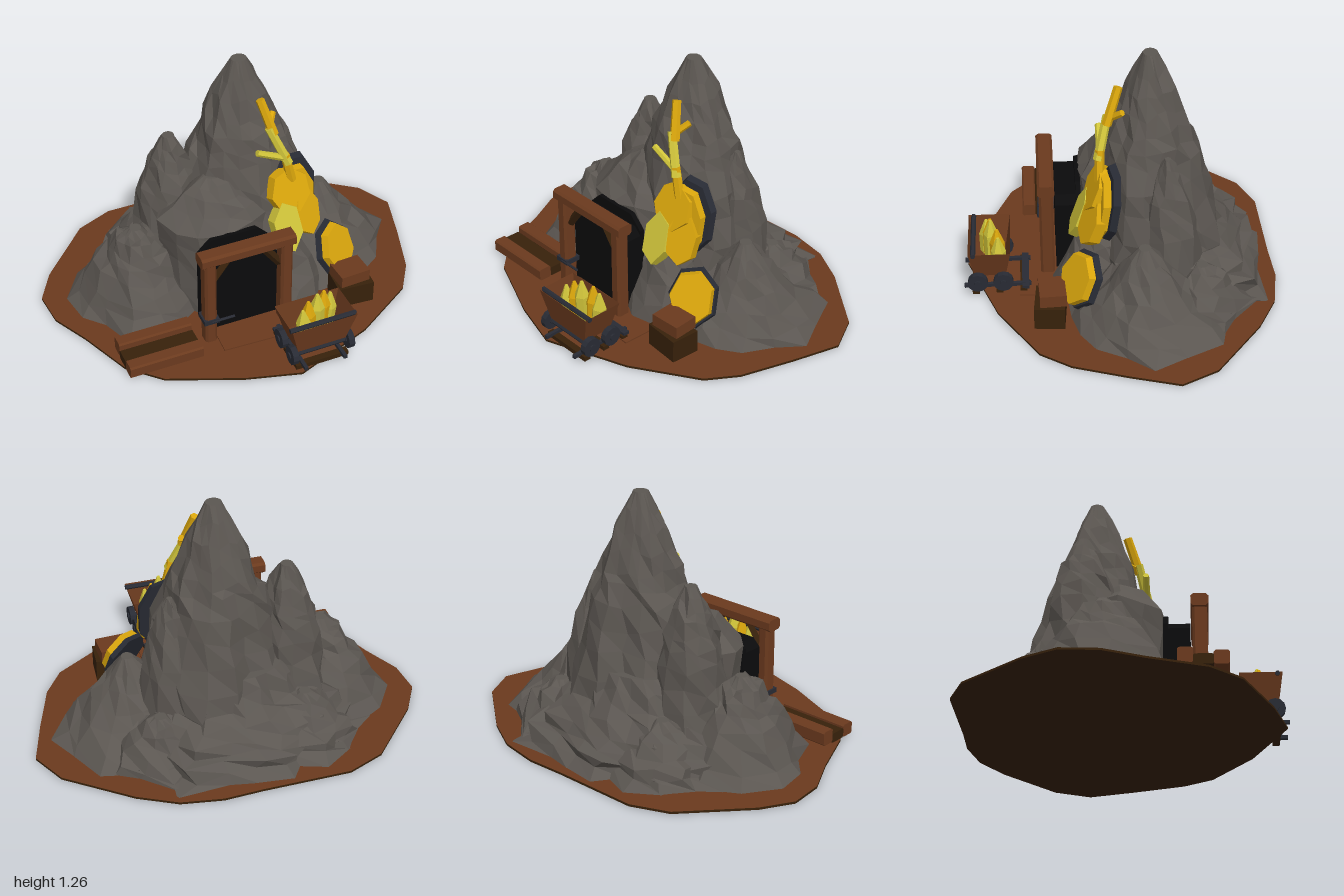
import * as THREE from 'three';

const paint = (name, color) => {
  const m = new THREE.MeshStandardMaterial({ color });
  m.name = name;
  return m;
};
const V = (x, y, z) => new THREE.Vector3(x, y, z);

export function createModel() {
  const rockGrey = paint('rock grey', 0x5b5651);
  const brown = paint('wood brown', 0x6b3a1e);
  const darkBrown = paint('dark wood', 0x37210b);
  const iron = paint('iron', 0x282b34);
  const black = paint('tunnel black', 0x0b0b0c);
  const gold = paint('gold', 0xdaa60c);
  const yellow = paint('pale gold', 0xd0c43a);
  const inside = paint('cart wood', 0x6b3a1e);
  inside.side = THREE.DoubleSide;

  const model = new THREE.Group();
  model.name = 'mountainMine';

  // Adds a mesh with hard facets
  const add = (name, geometry, material) => {
    const g = geometry.index ? geometry.toNonIndexed() : geometry;
    g.computeVertexNormals();
    const mesh = new THREE.Mesh(g, material);
    mesh.name = name;
    model.add(mesh);
    return mesh;
  };
  const box = (name, mat, [x, y, z], [w, h, d], turn = 0) => {
    const m = add(name, new THREE.BoxGeometry(w, h, d), mat);
    m.position.set(x, y, z);
    m.rotation.y = turn;
    return m;
  };
  // Straight bar between two points
  const bar = (name, mat, a, b, r0, r1 = r0, sides = 6) => {
    const m = add(name, new THREE.CylinderGeometry(r1, r0, a.distanceTo(b), sides), mat);
    m.position.copy(a).lerp(b, 0.5);
    m.quaternion.setFromUnitVectors(V(0, 1, 0), b.clone().sub(a).normalize());
    return m;
  };
  // Timber with chamfered long edges, lying along x
  const timber = (name, mat, [x, y, z], [w, h, d], c = 0.012) => {
    const a = d / 2, b = h / 2;
    const section = new THREE.Shape([
      [-a + c, -b], [a - c, -b], [a, -b + c], [a, b - c], [a - c, b], [-a + c, b], [-a, b - c], [-a, -b + c],
    ].map(([u, v]) => new THREE.Vector2(u, v)));
    const g = new THREE.ExtrudeGeometry(section, { depth: w, bevelEnabled: false });
    const m = add(name, g.translate(0, 0, -w / 2).rotateY(Math.PI / 2), mat);
    m.position.set(x, y, z);
    return m;
  };
  // Faceted slab facing along a normal
  const slab = (name, mat, pos, normal, rx, ry, thick, sides, roll) => {
    const g = new THREE.CylinderGeometry(0.93, 1, thick, sides);
    g.rotateX(Math.PI / 2).rotateZ(roll).scale(rx, ry, 1);
    const m = add(name, g, mat);
    m.position.copy(pos);
    m.lookAt(pos.clone().add(normal));
    return m;
  };

  // Repeatable noise in 0..1
  const noise = (a, b, c) => {
    const s = Math.sin(a * 127.1 + b * 311.7 + c * 74.7) * 43758.5453;
    return s - Math.floor(s);
  };
  // Craggy cone from a [radius, height] profile, bottom to top
  const rock = (name, seed, x, z, profile, sides, rough, sx = 1, sz = 1) => {
    const pts = [];
    profile.forEach(([r, y], i) => {
      if (i) {
        const [pr, py] = profile[i - 1];
        pts.push(new THREE.Vector2((r + pr) / 2, (y + py) / 2));
      }
      pts.push(new THREE.Vector2(r, y));
    });
    pts.push(new THREE.Vector2(0, profile.at(-1)[1]));
    const g = new THREE.LatheGeometry(pts, sides);
    const p = g.attributes.position;
    const rows = pts.length;
    for (let i = 0; i < p.count; i++) {
      const row = i % rows, col = Math.floor(i / rows) % sides;
      const top = row >= rows - 2;
      const ridge = noise(col, 0, seed) * 0.5 + noise(col, row, seed) * 0.5;
      const k = top ? 1 : 1 + rough * (ridge * 1.5 - 0.9);
      const turn = top ? 0 : (noise(row, col, seed + 9) - 0.5) * 3 / sides;
      const a = col / sides * Math.PI * 2 + turn;
      const r = pts[row].x * k;
      const lift = top || row === 0 ? 0 : (noise(col, row, seed + 5) - 0.5) * 0.05;
      p.setXYZ(i, x + Math.sin(a) * r * sx, Math.max(0.01, pts[row].y + lift), z + Math.cos(a) * r * sz);
    }
    return add(name, g, rockGrey);
  };

  // Ground plate: dark underside and edge, brown top
  const outline = [
    [-1, -.24], [-.91, -.4], [-.64, -.7], [-.45, -.78], [0, -.785], [.2, -.795], [.41, -.76],
    [.6, -.66], [.91, -.42], [1, -.24], [.93, 0], [.84, .27], [.74, .42], [.42, .62], [0, .775],
    [-.27, .7], [-.63, .55], [-.78, .4], [-.89, .13], [-.985, -.06],
  ];
  const ground = new THREE.Shape(outline.map(([x, z]) => new THREE.Vector2(x, -z)));
  add('groundBase', new THREE.ExtrudeGeometry(ground, { depth: 0.01, bevelEnabled: false }).rotateX(-Math.PI / 2), darkBrown);
  add('groundTop', new THREE.ShapeGeometry(ground).rotateX(-Math.PI / 2), brown).position.y = 0.012;
  box('path', brown, [0.005, 0.015, 0.39], [0.58, 0.008, 0.22], -0.04);

  // Mountain: main peak, side peaks and foothills
  rock('mainPeak', 1, 0.06, -0.15, [[.44, 0], [.38, .25], [.325, .5], [.26, .75], [.205, .9], [.135, 1.08], [.04, 1.26]], 18, .24, 1, .9);
  rock('rightPeak', 2, -0.3, -0.19, [[.27, 0], [.2, .3], [.17, .5], [.13, .66], [.085, .77], [.03, .88]], 12, .24);
  rock('leftPeak', 3, 0.3, -0.22, [[.2, 0], [.15, .4], [.11, .58], [.06, .71], [.015, .81]], 10, .25);
  rock('rightHill', 4, -0.53, -0.08, [[.34, 0], [.25, .16], [.16, .3], [.1, .39], [.03, .45]], 13, .26);
  rock('leftHill', 5, 0.49, -0.1, [[.42, 0], [.27, .14], [.14, .29], [.03, .43]], 15, .24);
  rock('cliff', 6, -0.13, -0.03, [[.25, 0], [.25, .3], [.25, .5], [.14, .62], [.04, .7]], 12, .14, 1.2, 1);
  rock('buttress', 10, 0.18, 0.1, [[.24, 0], [.16, .2], [.09, .35], [.02, .46]], 10, .2);
  rock('backFoothill', 7, 0, -0.27, [[.69, 0], [.61, .1], [.51, .17], [.37, .28], [.25, .42]], 24, .22, 1, .7);
  rock('backLeftFoothill', 8, 0.4, -0.39, [[.27, 0], [.2, .1], [.12, .19], [.03, .25]], 10, .25);
  rock('backRightFoothill', 9, -0.33, -0.42, [[.27, 0], [.21, .1], [.12, .2], [.03, .27]], 10, .25);

  // Tunnel mouth
  const arch = (h, c) => new THREE.Shape([
    [-.31, 0], [.07, 0], [.07, h - c], [.07 - c, h], [-.31 + c, h], [-.31, h - c],
  ].map(([x, y]) => new THREE.Vector2(x, y)));
  [['tunnelMouth', .43, .04, .21, .11], ['tunnelBack', .485, .07, .19, .025]].forEach(([name, h, c, z, depth]) => {
    add(name, new THREE.ExtrudeGeometry(arch(h, c), { depth, bevelEnabled: false }), black).position.set(0, 0.01, z);
  });

  // Timber frame with corner braces
  [-0.32, 0.085].forEach((x, i) => {
    const s = i ? -1 : 1;
    timber('framePost', brown, [x, 0.255, 0.365], [0.49, 0.062, 0.072]).rotation.z = Math.PI / 2;
    bar('frameBrace', darkBrown, V(x + s * 0.025, 0.37, 0.36), V(x + s * 0.12, 0.5, 0.36), 0.022, 0.022, 4);
  });
  timber('frameLintel', brown, [-0.12, 0.522, 0.365], [0.495, 0.062, 0.085]);
  box('postBand', iron, [-0.32, 0.145, 0.365], [0.08, 0.025, 0.085]);
  bar('bandHook', iron, V(-0.32, 0.145, 0.405), V(-0.2, 0.145, 0.405), 0.007);

  // Stacked beams
  timber('backBeam', brown, [-0.59, 0.06, 0.295], [0.38, 0.075, 0.07], 0.008);
  timber('middleBeam', darkBrown, [-0.59, 0.04, 0.375], [0.38, 0.05, 0.09], 0.006);
  timber('frontBeam', brown, [-0.59, 0.047, 0.455], [0.38, 0.066, 0.07], 0.008);

  // Crates
  box('largeCrate', darkBrown, [0.465, 0.07, 0.36], [0.19, 0.12, 0.15], -0.08);
  box('smallCrate', brown, [0.46, 0.162, 0.35], [0.16, 0.064, 0.13], 0.05);

  // Track
  [0.49, 0.61, 0.73].forEach((z) => box('railTie', darkBrown, [0.12, 0.022, z], [0.28, 0.025, 0.035]));
  box('railStop', iron, [0.12, 0.04, 0.48], [0.28, 0.016, 0.035]);
  [0.015, 0.225].forEach((x) => box('rail', iron, [x, 0.04, 0.62], [0.018, 0.018, 0.335]));

  // Cart
  const tub = new THREE.CylinderGeometry(Math.SQRT2, Math.SQRT2 * 0.74, 1, 4, 1, true);
  tub.rotateY(Math.PI / 4).scale(0.172, 0.16, 0.105);
  add('cartTub', tub, inside).position.set(0.12, 0.195, 0.655);
  box('cartFloor', brown, [0.12, 0.125, 0.655], [0.25, 0.02, 0.155]);
  bar('cartRim', iron, V(-0.055, 0.268, 0.735), V(0.295, 0.268, 0.735), 0.013);
  [0.59, 0.718].forEach((z) => {
    bar('cartAxle', iron, V(-0.03, 0.092, z), V(0.27, 0.092, z), 0.014);
    [-0.03, 0.27].forEach((x) => {
      bar('cartWheel', iron, V(x - 0.015, 0.092, z), V(x + 0.015, 0.092, z), 0.05, 0.05, 12);
      bar('wheelHub', iron, V(x - 0.022, 0.092, z), V(x + 0.022, 0.092, z), 0.018, 0.018, 8);
    });
  });

  // Crystals in the cart
  [[.06, .67, .31], [.09, .65, .34], [.13, .645, .365], [.17, .615, .345], [.2, .61, .32]].forEach(([x, z, top], i) => {
    const mat = i % 2 ? gold : yellow;
    const lean = (x - 0.13) * 0.25;
    bar('cartCrystal', mat, V(x, 0.13, z), V(x + lean * 0.7, top - 0.08, z), 0.036, 0.038);
    bar('cartCrystalTip', mat, V(x + lean * 0.7, top - 0.08, z), V(x + lean, top, z), 0.038, 0.008);
  });

  // Large gold vein on an iron backing, with overlapping nuggets
  const face = V(0.2, 0.13, 0.95);
  slab('veinBacking', iron, V(0.272, 0.55, 0.06), face, 0.135, 0.21, 0.035, 8, 0.3);
  slab('veinGold', gold, V(0.262, 0.53, 0.095), face, 0.115, 0.19, 0.05, 8, 0.3);
  slab('upperGold', gold, V(0.215, 0.595, 0.115), V(0.1, 0.35, 0.9), 0.118, 0.13, 0.06, 7, 0.3);
  slab('lowerGold', gold, V(0.295, 0.46, 0.14), V(0.35, 0.3, 0.85), 0.088, 0.14, 0.06, 7, 0.9);
  slab('paleGold', yellow, V(0.175, 0.43, 0.185), V(0.05, 0.35, 0.93), 0.085, 0.148, 0.06, 6, 0.2);
  const lowFace = V(0.5, 0.4, 0.8);
  slab('lowBacking', iron, V(0.437, 0.215, 0.2), lowFace, 0.13, 0.16, 0.03, 7, 0.2);
  slab('lowGold', gold, V(0.45, 0.23, 0.225), lowFace, 0.115, 0.142, 0.04, 7, 0.2);

  // Branching vein
  [
    [gold, [.235, .65, .105], [.2, .81, .1], .026],
    [yellow, [.215, .76, .11], [.13, .96, .06], .025],
    [yellow, [.2, .79, .1], [.05, .86, .1], .018],
    [gold, [.155, .92, .065], [.105, 1.1, .005], .025],
    [gold, [.13, .94, .055], [.18, 1.0, -.01], .018],
  ].forEach(([mat, a, b, r]) => bar('goldBranch', mat, V(...a), V(...b), r, r * 0.9));

  return model;
}
